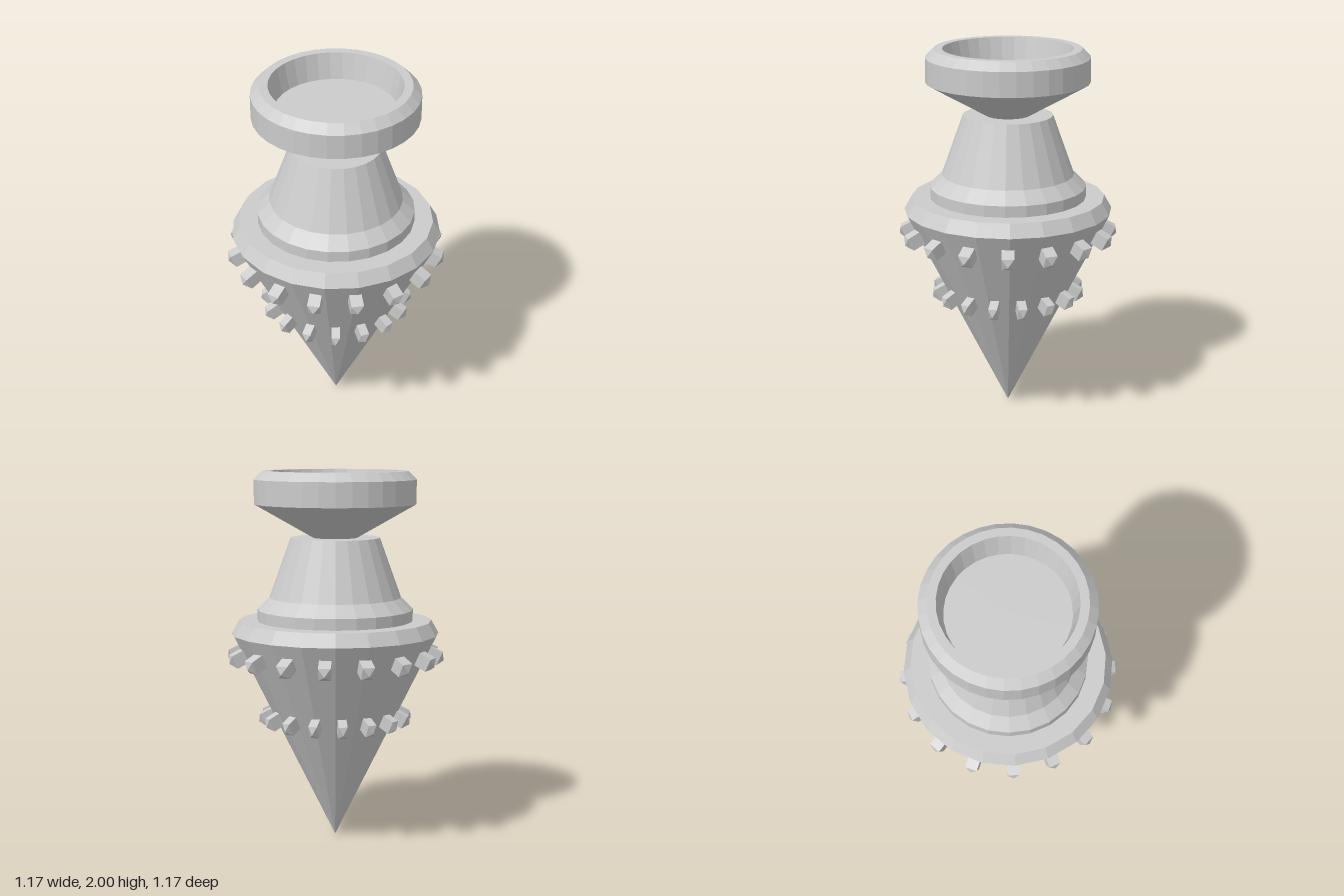
import * as THREE from 'three';

const material = new THREE.MeshStandardMaterial({ color: 0xcccccc, flatShading: true });

// Faceted solid of revolution from [radius, height] points, bottom to top
function turned(name, profile, sides) {
  const points = profile.map(([r, y]) => new THREE.Vector2(r, y));
  const geometry = new THREE.LatheGeometry(points, sides).toNonIndexed();
  geometry.computeVertexNormals();
  const mesh = new THREE.Mesh(geometry, material);
  mesh.name = name;
  return mesh;
}

// Ring of square, pointed teeth standing square to the cone's surface
function toothRing(name, { y, width, height, length, offset, count = 16 }) {
  const ring = new THREE.Group();
  ring.name = name;
  const slope = 0.56 / 1.13;
  const corner = Math.SQRT1_2;
  for (let i = 0; i < count; i++) {
    const pivot = new THREE.Group();
    pivot.name = 'toothPivot';
    pivot.rotation.y = offset + (i / count) * Math.PI * 2;
    const tooth = turned('tooth', [[0, -0.03], [corner, -0.03], [corner, length - 0.025], [0, length]], 4);
    tooth.geometry.rotateY(Math.PI / 4);
    tooth.geometry.scale(width, 1, height);
    tooth.geometry.computeVertexNormals();
    tooth.position.set(0, y, y * slope);
    tooth.rotation.x = Math.PI / 2 + Math.atan(slope);
    pivot.add(tooth);
    ring.add(pivot);
  }
  return ring;
}

export function createModel() {
  const model = new THREE.Group();
  model.name = 'drillHead';

  // Pointed cone with a bevelled shoulder
  model.add(turned('drillCone', [[0, 0], [0.56, 1.13], [0.52, 1.2], [0, 1.2]], 20));

  // Stepped collar and tapered neck
  model.add(turned('neck', [[0, 1.18], [0.42, 1.18], [0.42, 1.26], [0.355, 1.325], [0.24, 1.645], [0, 1.645]], 24));

  // Flared socket with a recessed floor
  model.add(turned('socket', [
    [0, 1.577], [0.435, 1.825], [0.435, 1.955], [0.39, 2], [0.345, 2], [0.315, 1.86], [0, 1.86],
  ], 32));

  // Two staggered rows of teeth
  const stagger = Math.PI / 32;
  model.add(toothRing('upperTeeth', { y: 1.025, width: 0.065, height: 0.074, length: 0.09, offset: -stagger }));
  model.add(toothRing('lowerTeeth', { y: 0.685, width: 0.047, height: 0.074, length: 0.087, offset: stagger }));

  return model;
}
